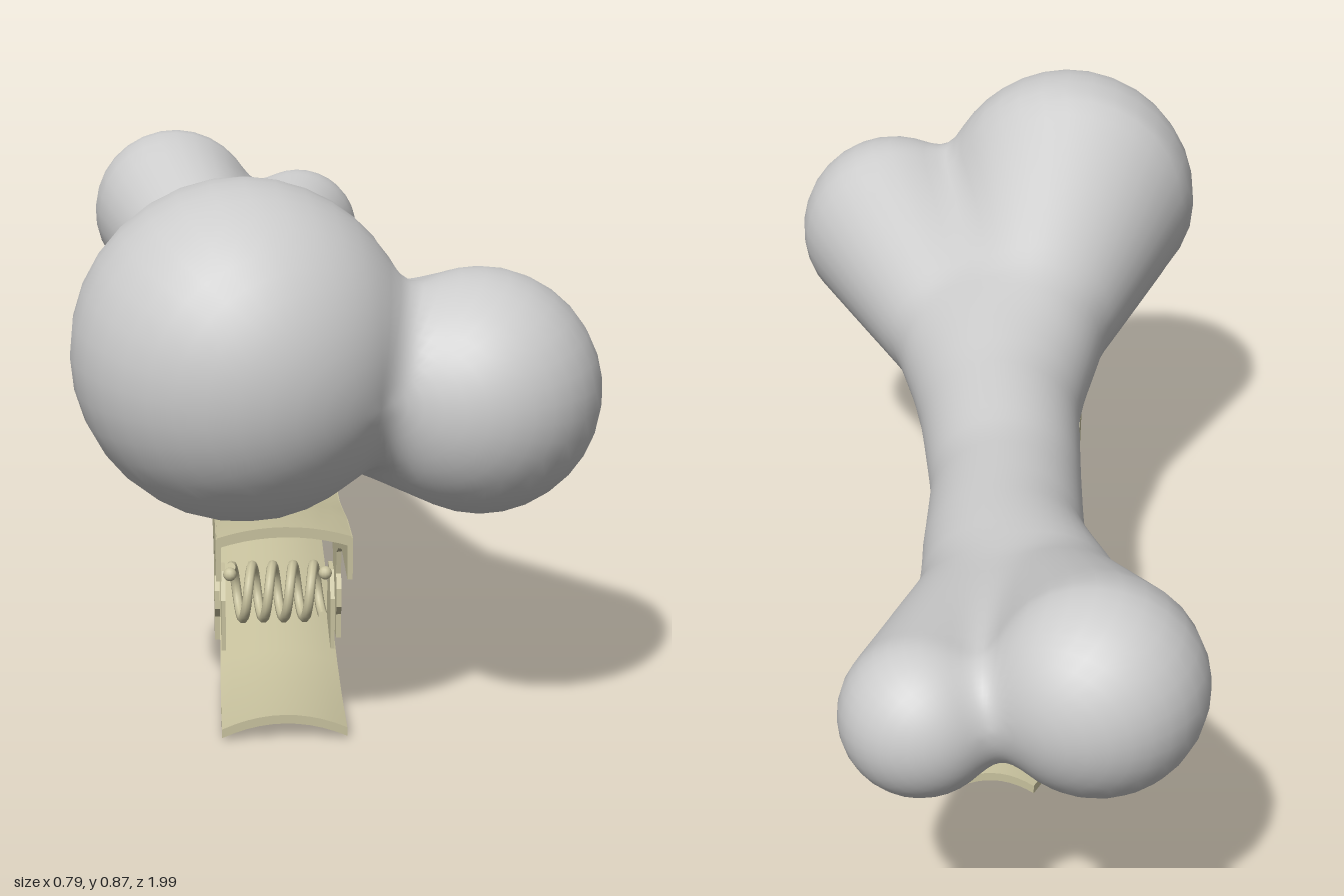
import * as THREE from 'three';
import { mergeVertices, toCreasedNormals } from 'three/addons/utils/BufferGeometryUtils.js';

const V = (x, y, z) => new THREE.Vector3(x, y, z);
const CLIP_X = -0.07;

// Skin a list of closed rings (arrays of Vector3); caps pair the two halves of a ring
function loft(rings, capped) {
  const n = rings[0].length, pos = [], index = [];
  rings.forEach(r => r.forEach(p => pos.push(p.x, p.y, p.z)));
  for (let i = 0; i < rings.length - 1; i++) {
    for (let j = 0; j < n; j++) {
      const a = i * n + j, b = i * n + (j + 1) % n;
      index.push(a, b, b + n, a, b + n, a + n);
    }
  }
  if (capped) {
    const e = (rings.length - 1) * n;
    for (let k = 0; k < n / 2 - 1; k++) {
      const a = k, b = k + 1, c = n - 2 - k, d = n - 1 - k;
      index.push(e + a, e + b, e + c, e + a, e + c, e + d);
      index.push(a, c, b, a, d, c);
    }
  }
  const g = new THREE.BufferGeometry();
  g.setAttribute('position', new THREE.Float32BufferAttribute(pos, 3));
  g.setIndex(index);
  return g;
}

// Two bone strands running back to front: x, y, z, radius
const strandA = [
  [-0.235, 0.5, -0.83, 0.165], [-0.16, 0.425, -0.55, 0.135], [-0.08, 0.41, -0.3, 0.122],
  [-0.06, 0.415, -0.1, 0.115], [-0.045, 0.443, 0.15, 0.127], [-0.07, 0.5, 0.4, 0.15],
  [-0.13, 0.625, 0.75, 0.25],
];
const strandB = [
  [0.02, 0.453, -0.855, 0.122], [-0.05, 0.42, -0.5, 0.11], [-0.06, 0.415, -0.1, 0.115],
  [-0.02, 0.443, 0.15, 0.127], [0.05, 0.48, 0.4, 0.135], [0.215, 0.555, 0.735, 0.182],
];

// Distance from p to a chain of tapered capsules
function chainDistance(p, chain) {
  let best = Infinity;
  for (let i = 0; i < chain.length - 1; i++) {
    const [ax, ay, az, ar] = chain[i], [bx, by, bz, br] = chain[i + 1];
    const dx = bx - ax, dy = by - ay, dz = bz - az;
    const t = THREE.MathUtils.clamp(
      ((p.x - ax) * dx + (p.y - ay) * dy + (p.z - az) * dz) / (dx * dx + dy * dy + dz * dz), 0, 1);
    const d = Math.hypot(p.x - ax - t * dx, p.y - ay - t * dy, p.z - az - t * dz);
    best = Math.min(best, d - ar - t * (br - ar));
  }
  return best;
}

function boneDistance(p) {
  const a = chainDistance(p, strandA), b = chainDistance(p, strandB), k = 0.06;
  const h = Math.max(k - Math.abs(a - b), 0) / k;
  return Math.min(a, b) - h * h * k / 4;
}

// Bone skin: push rings outward from a core line to the blended surface
function boneGeometry() {
  const core = new THREE.CatmullRomCurve3([
    V(-0.08, 0.475, -0.815), V(-0.07, 0.42, -0.45), V(-0.06, 0.415, -0.1),
    V(-0.03, 0.445, 0.2), V(0.0, 0.5, 0.45), V(0.06, 0.575, 0.69),
  ]);
  const stations = [], capSteps = 16, bodySteps = 44, sides = 56;
  for (let i = 0; i < capSteps; i++) stations.push([0, -Math.PI / 2 * (1 - i / capSteps)]);
  for (let i = 0; i <= bodySteps; i++) stations.push([i / bodySteps, 0]);
  for (let i = 1; i <= capSteps; i++) stations.push([1, Math.PI / 2 * i / capSteps]);
  const rings = stations.map(([t, phi]) => {
    const o = core.getPoint(t), ring = [];
    for (let j = 0; j < sides; j++) {
      const a = j / sides * Math.PI * 2;
      const dir = V(Math.cos(phi) * Math.cos(a), Math.cos(phi) * Math.sin(a), Math.sin(phi));
      let lo = 0, hi = 0.6;
      for (let s = 0; s < 22; s++) {
        const mid = (lo + hi) / 2;
        if (boneDistance(o.clone().addScaledVector(dir, mid)) < 0) lo = mid; else hi = mid;
      }
      ring.push(o.clone().addScaledVector(dir, lo));
    }
    return ring;
  });
  const g = mergeVertices(loft(rings, false), 1e-5);
  g.computeVertexNormals();
  return g;
}

// Arched sheet from rows of z, crown height, half width
function archedPlate(rows, arch, thick) {
  const n = 10;
  const rings = rows.map(([z, y, w]) => {
    const top = [], bottom = [];
    for (let i = 0; i <= n; i++) {
      const u = i / n * 2 - 1, h = y - arch * u * u;
      top.push(V(CLIP_X + u * w, h, z));
      bottom.unshift(V(CLIP_X + u * w, h - thick, z));
    }
    return [...top, ...bottom];
  });
  return toCreasedNormals(loft(rings, true), 0.6);
}

// Flat side piece drawn in z, y and extruded across x
function sidePiece(points, x, thick) {
  const shape = new THREE.Shape(points.map(([z, y]) => new THREE.Vector2(z, y)));
  const g = new THREE.ExtrudeGeometry(shape, { depth: thick, bevelEnabled: false });
  return g.rotateY(-Math.PI / 2).translate(x + thick / 2, 0, 0);
}

export function createModel() {
  const model = new THREE.Group();
  const boneGrey = new THREE.MeshStandardMaterial({ color: 0xcccccc });
  boneGrey.name = 'boneGrey';
  const clipMetal = new THREE.MeshStandardMaterial({ color: 0xc9c39f });
  clipMetal.name = 'clipMetal';
  const add = (name, geometry, material, parent) => {
    const m = new THREE.Mesh(geometry, material);
    m.name = name;
    parent.add(m);
    return m;
  };

  add('bone', boneGeometry(), boneGrey, model);

  const clip = new THREE.Group();
  clip.name = 'clip';
  model.add(clip);

  // Upper and lower jaws
  add('upperJaw', archedPlate([
    [0.74, 0.348, 0.1], [0.62, 0.335, 0.1], [0.52, 0.315, 0.1], [0.42, 0.297, 0.1], [0.25, 0.289, 0.1],
    [0, 0.285, 0.1], [-0.2, 0.29, 0.1], [-0.4, 0.27, 0.1], [-0.57, 0.242, 0.1], [-0.62, 0.233, 0.08],
  ], 0.016, 0.016), clipMetal, clip);
  add('lowerJaw', archedPlate([
    [0.74, 0.048, 0.095], [0.6, 0.043, 0.095], [0.5, 0.055, 0.094], [0.4, 0.075, 0.093], [0.2, 0.101, 0.092],
    [0, 0.126, 0.091], [-0.2, 0.153, 0.09], [-0.33, 0.17, 0.09], [-0.55, 0.175, 0.085], [-0.6, 0.175, 0.065],
  ], 0.022, 0.014), clipMetal, clip);

  // Toothed side walls of the upper jaw, each with a post reaching the lower jaw
  const wall = [
    [0.74, 0.33], [0.62, 0.317], [0.52, 0.297], [0.42, 0.279], [0.25, 0.271], [0, 0.267],
    [-0.2, 0.272], [-0.4, 0.252], [-0.6, 0.222], [-0.6, 0.185], [-0.48, 0.182],
  ];
  for (let i = 0; i < 8; i++) {
    const z = -0.46 + i * 0.094;
    wall.push([z, 0.178], [z + 0.043, 0.142 + 0.002 * i], [z + 0.085, 0.18]);
  }
  wall.push([0.36, 0.187], [0.372, 0.17], [0.365, 0.13], [0.38, 0.07], [0.4, 0.055], [0.46, 0.06],
    [0.46, 0.1], [0.48, 0.12], [0.478, 0.15], [0.46, 0.17], [0.468, 0.21], [0.52, 0.235], [0.6, 0.262], [0.74, 0.264]);
  // Lower jaw ears beside the spring
  const ear = [[0.47, 0.045], [0.37, 0.06], [0.38, 0.14], [0.4, 0.17], [0.44, 0.17], [0.47, 0.13]];
  for (const [side, s] of [['left', 1], ['right', -1]]) {
    add(side + 'JawWall', sidePiece(wall, CLIP_X + s * 0.098, 0.008), clipMetal, clip);
    add(side + 'Ear', sidePiece(ear, CLIP_X + s * 0.088, 0.007), clipMetal, clip);
    const knob = add(side + 'SpringEnd', new THREE.SphereGeometry(0.011, 12, 8), clipMetal, clip);
    knob.position.set(CLIP_X + s * 0.077, 0.168, 0.45);
  }

  // Coil spring between the ears
  const coil = [], turns = 4.5;
  for (let i = 0; i <= 72; i++) {
    const t = i / 72, a = t * turns * Math.PI * 2 + Math.PI / 2;
    coil.push(V(CLIP_X - 0.075 + t * 0.15, 0.128 + 0.043 * Math.sin(a), 0.425 + 0.043 * Math.cos(a)));
  }
  add('spring', new THREE.TubeGeometry(new THREE.CatmullRomCurve3(coil), 180, 0.008, 8), clipMetal, clip);

  return model;
}
